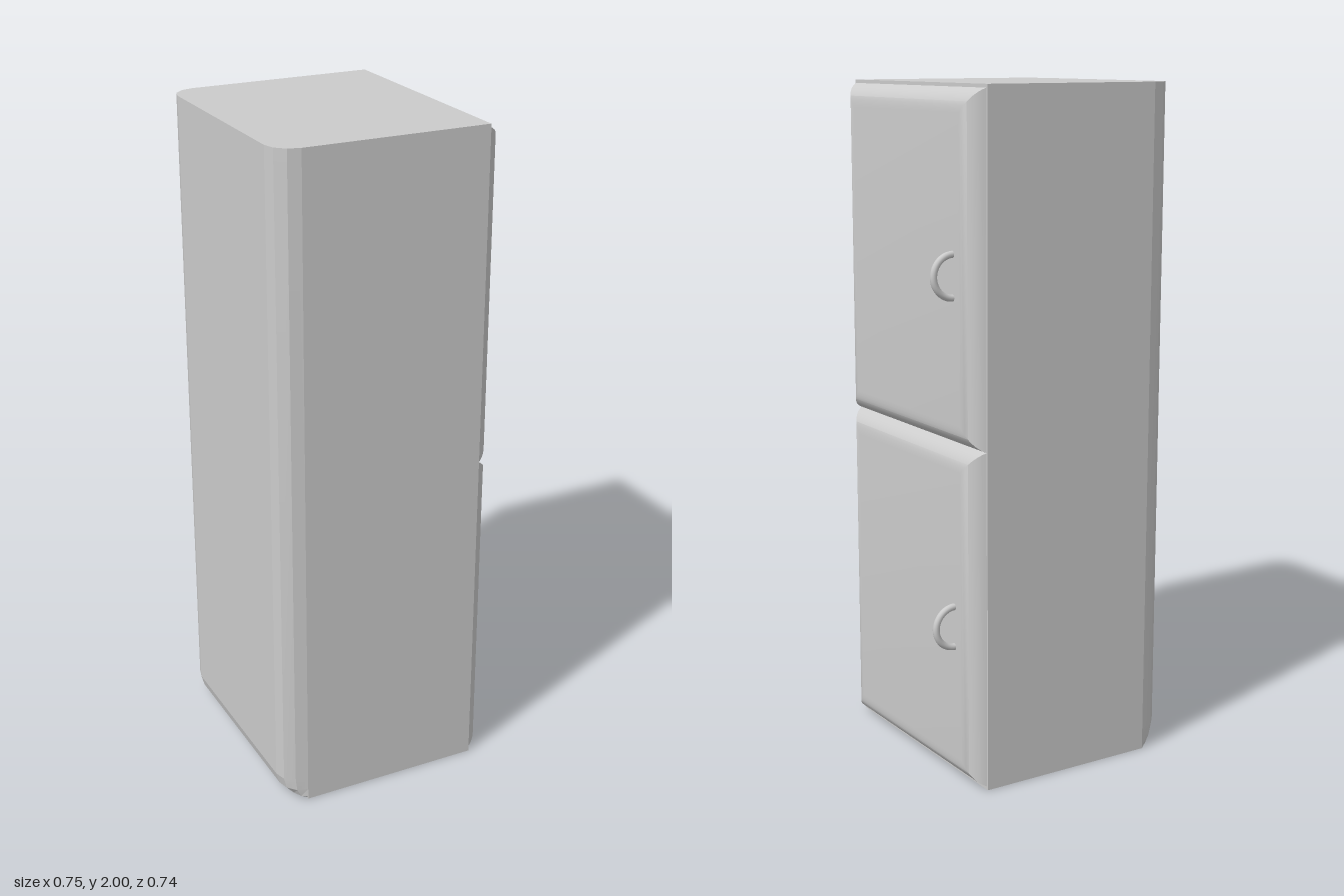
import * as THREE from 'three';
import { toCreasedNormals } from 'three/addons/utils/BufferGeometryUtils.js';

const material = new THREE.MeshStandardMaterial({ color: 0xcccccc });

// Skin a stack of convex rings (counter-clockwise seen from the last ring's end) and cap both ends
function loft(rings, crease) {
  const n = rings[0].length;
  const index = [];
  for (let r = 0; r < rings.length - 1; r++) {
    for (let i = 0; i < n; i++) {
      const a = r * n + i, b = r * n + (i + 1) % n;
      index.push(a, b, b + n, a, b + n, a + n);
    }
  }
  const top = (rings.length - 1) * n;
  for (let i = 1; i < n - 1; i++) {
    index.push(0, i + 1, i);
    index.push(top, top + i, top + i + 1);
  }
  const geometry = new THREE.BufferGeometry();
  geometry.setAttribute('position', new THREE.Float32BufferAttribute(rings.flat(2), 3));
  geometry.setIndex(index);
  return toCreasedNormals(geometry, crease);
}

function part(name, geometry) {
  const mesh = new THREE.Mesh(geometry, material);
  mesh.name = name;
  return mesh;
}

// Cabinet: rounded rear uprights and rounded rear bottom edge
function cabinetGeometry() {
  const front = 0.255, half = 0.37, r = 0.07, steps = 3, rear = -0.302;
  const ring = (y, s) => {
    const pts = [[front, y, half], [front, y, -half]];
    for (const side of [-1, 1]) {
      for (let i = 0; i <= steps; i++) {
        const a = (side < 0 ? i : steps - i) / steps * Math.PI / 2;
        pts.push([rear - 0.073 * Math.sin(a) * s, y, side * (half - r + r * Math.cos(a))]);
      }
    }
    return pts;
  };
  const rings = [];
  for (let k = 0; k <= steps; k++) {
    const a = k / steps * Math.PI / 2;
    rings.push(ring(r * (1 - Math.cos(a)), Math.sin(a)));
  }
  rings.push(ring(2, 1));
  return loft(rings, 0.2);
}

// Door: mitred panel whose edges curve in to the flat front
function doorGeometry(y0, y1) {
  const sweep = 1.2, radius = 0.072, steps = 8, half = 0.365;
  const rings = [];
  for (let k = 0; k <= steps; k++) {
    const a = sweep * (1 - k / steps);
    const inset = radius * (Math.sin(sweep) - Math.sin(a));
    const x = 0.255 + radius * (Math.cos(a) - Math.cos(sweep));
    const z = half - inset, lo = y0 + inset, hi = y1 - inset;
    rings.push([[x, lo, z], [x, lo, -z], [x, hi, -z], [x, hi, z]]);
  }
  return loft(rings, 0.6);
}

export function createModel() {
  const model = new THREE.Group();
  model.name = 'refrigerator';
  model.add(part('cabinet', cabinetGeometry()));

  const doors = [
    { name: 'lower', y0: 0.01, y1: 1, handleY: 0.475 },
    { name: 'upper', y0: 1, y1: 1.99, handleY: 1.483 },
  ];
  for (const d of doors) {
    model.add(part(d.name + 'Door', doorGeometry(d.y0, d.y1)));

    // Half-ring handle near the rear-side edge of the door
    const handle = part(d.name + 'Handle', new THREE.TorusGeometry(0.06, 0.01, 12, 24, Math.PI));
    handle.rotation.z = -Math.PI / 2;
    handle.position.set(0.302, d.handleY, -0.265);
    model.add(handle);
  }
  return model;
}
